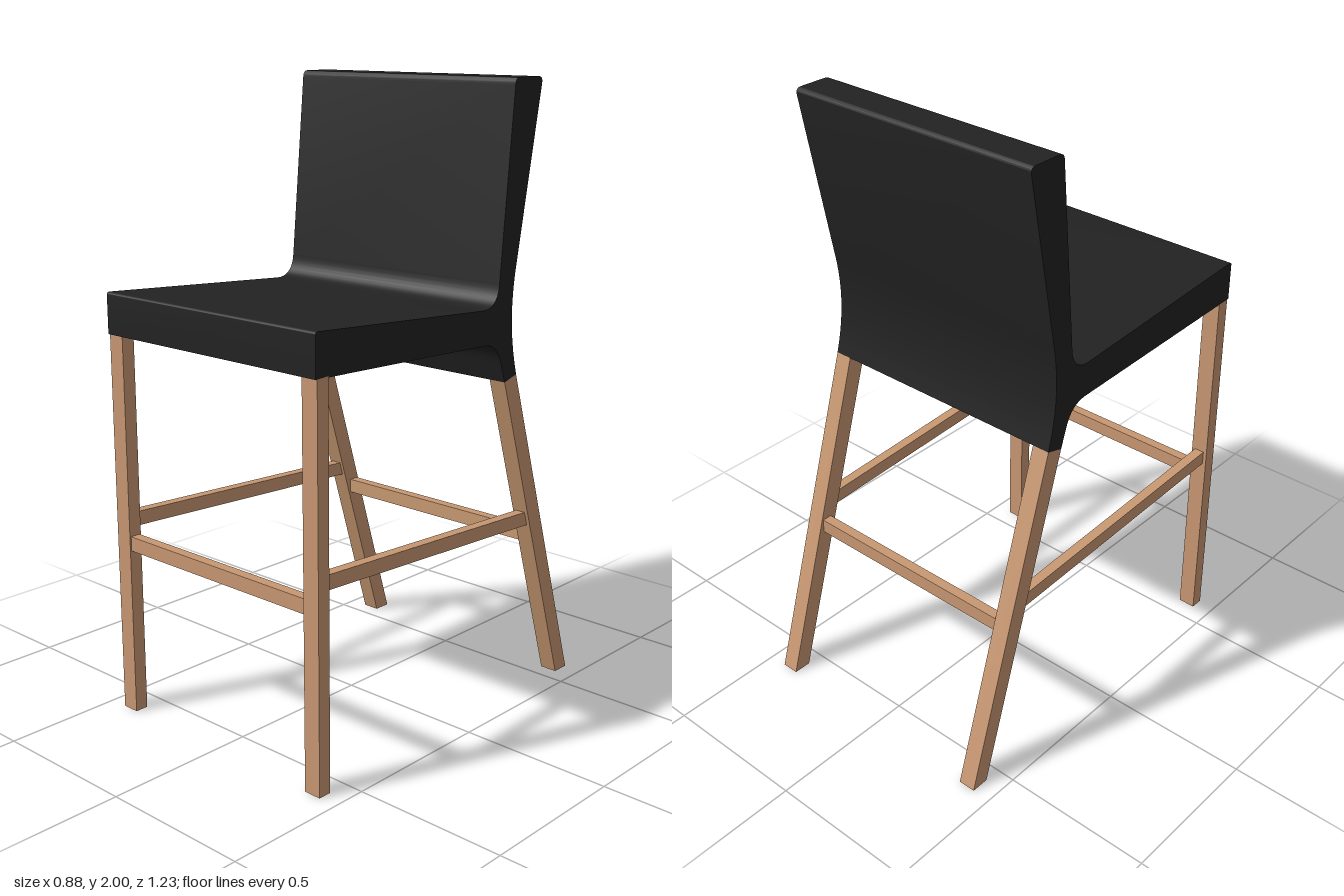
import * as THREE from 'three';
import { toCreasedNormals } from 'three/addons/utils/BufferGeometryUtils.js';

// Extrude a side profile (drawn in z, y) across x, centred on x = 0
function extrudeAcross(shape, width) {
  const geo = new THREE.ExtrudeGeometry(shape, { depth: width, bevelEnabled: false, curveSegments: 10 });
  geo.translate(0, 0, -width / 2);
  geo.rotateY(-Math.PI / 2);
  return geo;
}

export function createModel() {
  const model = new THREE.Group();
  model.name = 'barChair';
  const wood = new THREE.MeshStandardMaterial({ color: 0xc89872 });
  wood.name = 'wood';
  const upholstery = new THREE.MeshStandardMaterial({ color: 0x222222 });
  upholstery.name = 'black upholstery';

  const add = (name, geo, material, x = 0) => {
    const mesh = new THREE.Mesh(geo, material);
    mesh.name = name;
    mesh.position.x = x;
    model.add(mesh);
  };
  const bar = (corners, width) =>
    extrudeAcross(new THREE.Shape(corners.map(([z, y]) => new THREE.Vector2(z, y))), width);

  // Seat and backrest: one continuous padded profile
  const s = new THREE.Shape();
  s.moveTo(0.617, 1.236);
  s.lineTo(0.617, 1.358);
  s.quadraticCurveTo(0.617, 1.366, 0.607, 1.366);
  s.lineTo(-0.11, 1.319);
  s.bezierCurveTo(-0.15, 1.317, -0.18, 1.34, -0.184, 1.39);
  s.lineTo(-0.239, 1.98);
  s.quadraticCurveTo(-0.241, 2, -0.26, 2);
  s.lineTo(-0.355, 2);
  s.quadraticCurveTo(-0.375, 2, -0.372, 1.98);
  s.lineTo(-0.261, 1.41);
  s.bezierCurveTo(-0.245, 1.31, -0.245, 1.22, -0.281, 1.094);
  s.lineTo(-0.223, 1.078);
  s.lineTo(-0.202, 1.14);
  s.bezierCurveTo(-0.185, 1.19, -0.155, 1.21, -0.11, 1.21);
  s.closePath();
  add('seatAndBack', toCreasedNormals(extrudeAcross(s, 0.876), 0.6), upholstery);

  // Legs and side rails, mirrored
  const frontLeg = bar([[0.567, 0], [0.611, 0], [0.611, 1.236], [0.567, 1.238]], 0.058);
  const rearLeg = bar([[-0.615, 0], [-0.555, 0], [-0.223, 1.078], [-0.281, 1.094]], 0.058);
  const sideRail = bar([[0.57, 0.619], [0.57, 0.665], [-0.368, 0.617], [-0.382, 0.571]], 0.034);
  for (const [side, sign] of [['left', 1], ['right', -1]]) {
    add(side + 'FrontLeg', frontLeg, wood, sign * 0.409);
    add(side + 'RearLeg', rearLeg, wood, sign * 0.409);
    add(side + 'SideRail', sideRail, wood, sign * 0.409);
  }

  // Cross rails between the legs
  add('frontRail', bar([[0.572, 0.547], [0.606, 0.547], [0.606, 0.594], [0.572, 0.594]], 0.762), wood);
  add('rearRail', bar([[-0.443, 0.5], [-0.409, 0.5], [-0.409, 0.547], [-0.443, 0.547]], 0.762), wood);

  return model;
}
